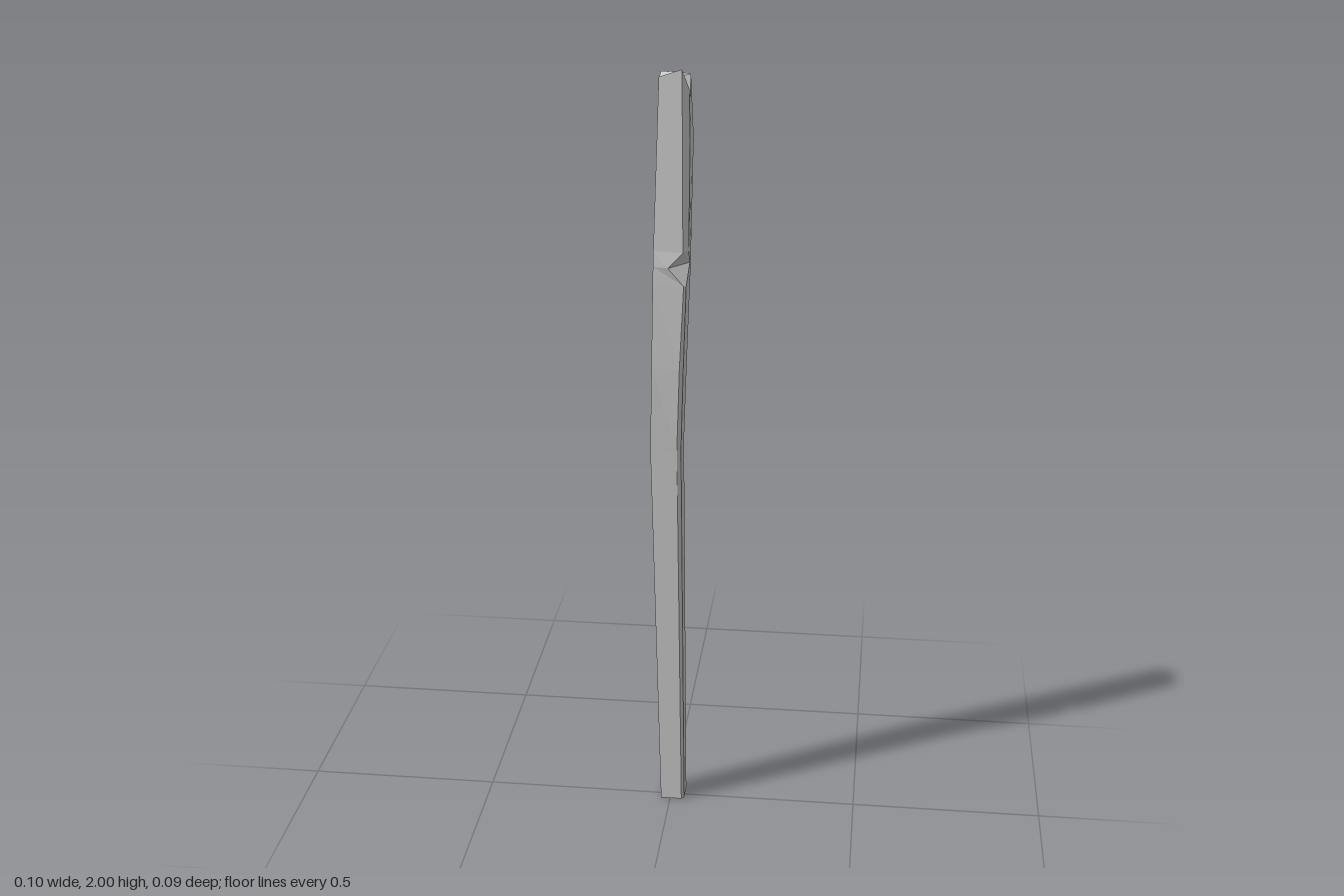
import * as THREE from 'three';

// Five-cornered sections of the post, from the ground up:
// height, then x,z of back right, back left, chamfer side, chamfer front, front right
const sections = [
  [0, [-0.025, -0.037], [0.038, -0.037], [0.038, 0.018], [0.031, 0.025], [-0.025, 0.025]],
  [1.03, [-0.05, -0.047], [0.028, -0.046], [0.028, 0.024], [0.018, 0.03], [-0.05, 0.03]],
  [1.25, [-0.046, -0.045], [0.035, -0.043], [0.034, 0.031], [0.025, 0.039], [-0.046, 0.033]],
  [1.47, [-0.042, -0.042], [0.043, -0.042], [0.042, 0.041], [0.036, 0.045], [-0.042, 0.036]],
  // inner edge of the axe notch
  [1.515, [-0.041, -0.042], [0.044, -0.042], [0.045, -0.015], [-0.003, 0.046], [-0.041, 0.036]],
  [1.555, [-0.04, -0.042], [0.045, -0.042], [0.046, 0.024], [0.034, 0.046], [-0.04, 0.036]],
  [1.82, [-0.033, -0.041], [0.05, -0.044], [0.048, 0.02], [0.032, 0.041], [-0.031, 0.034]],
];

// Splintered top rim, in the same order as the expanded sections
const rim = [
  [-0.03, -0.04, 1.98], [0.008, -0.041, 1.98], [0.048, -0.043, 1.86],
  [0.046, -0.015, 1.98], [0.046, 0.004, 1.92], [0.046, 0.019, 1.95],
  [0.03, 0.039, 2.0], [-0.026, 0.032, 1.98], [-0.03, 0.002, 1.965],
].map(([x, z, y]) => new THREE.Vector3(x, y, z));

// Adds points along the back, left and right faces so that the rim can be chipped there
function expand([y, ...corners]) {
  const [bl, br, a, b, fl] = corners.map(([x, z]) => new THREE.Vector3(x, y, z));
  const on = (p, q, t) => p.clone().lerp(q, t);
  return [bl, on(bl, br, 0.5), br, on(br, a, 0.45), on(br, a, 0.75), a, b, fl, on(fl, bl, 0.45)];
}

function postGeometry() {
  const rings = [...sections.map(expand), rim];
  const n = rim.length;
  const points = rings.flat();
  const index = [];

  // Long faces
  for (let r = 0; r < rings.length - 1; r++) {
    for (let i = 0; i < n; i++) {
      const j = (i + 1) % n, low = r * n, high = low + n;
      index.push(low + i, high + i, high + j, low + i, high + j, low + j);
    }
  }
  // Foot
  for (let i = 1; i < n - 1; i++) index.push(0, i, i + 1);
  // Broken top: back ridge, corner chip, groove and front splinter
  const top = (rings.length - 1) * n;
  const cap = [[0, 1, 3], [1, 2, 3], [0, 3, 8], [3, 4, 8], [4, 5, 8], [5, 6, 8], [6, 7, 8]];
  cap.forEach(([a, b, c]) => index.push(top + a, top + c, top + b));

  const geometry = new THREE.BufferGeometry().setFromPoints(points);
  geometry.setIndex(index);
  const flat = geometry.toNonIndexed();
  flat.computeVertexNormals();
  return flat;
}

export function createModel() {
  const group = new THREE.Group();
  group.name = 'woodenPost';
  const post = new THREE.Mesh(
    postGeometry(),
    new THREE.MeshStandardMaterial({ color: 0xcccccc, flatShading: true })
  );
  post.name = 'post';
  group.add(post);
  return group;
}
